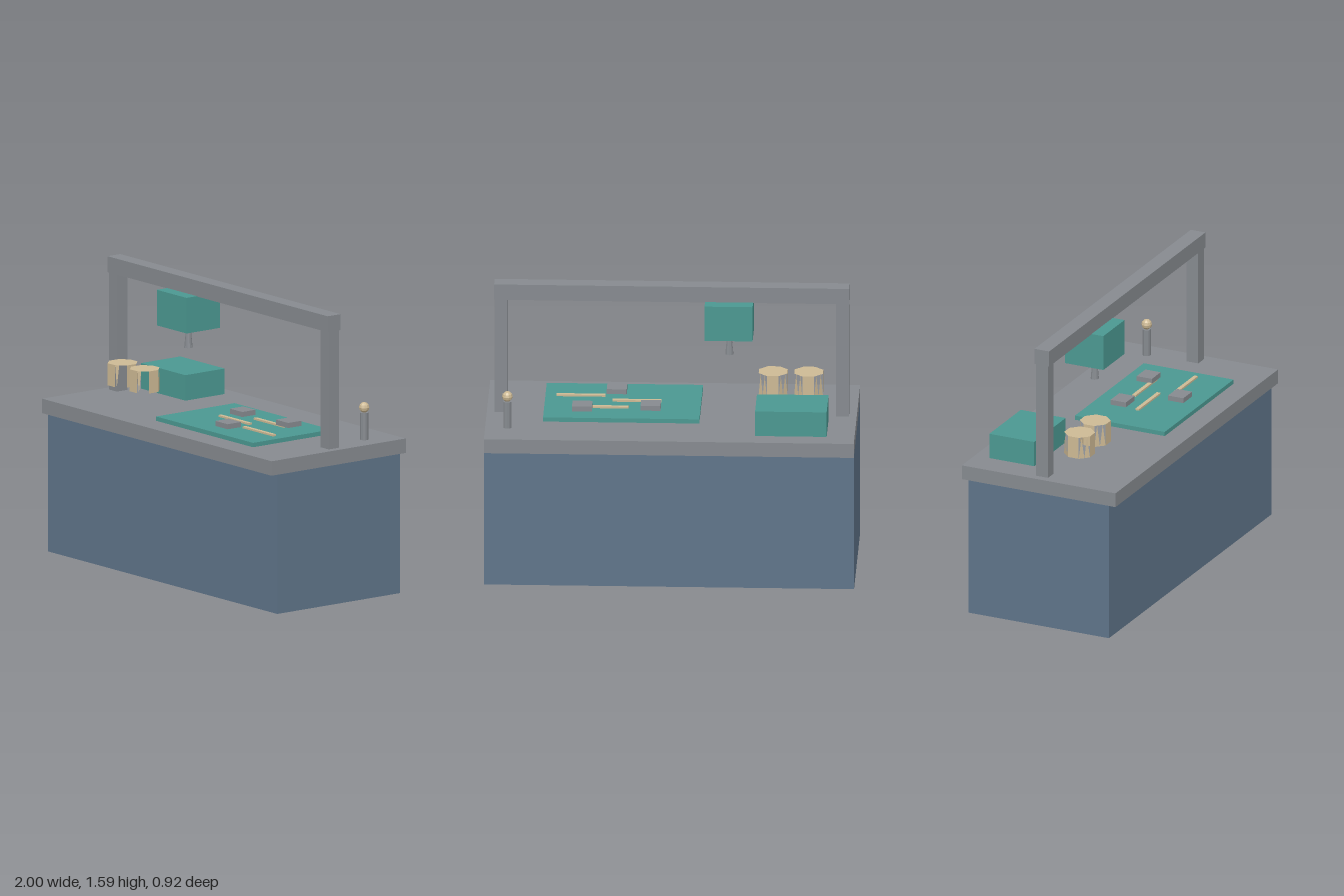
import * as THREE from 'three';

const mat = (name, color) => {
  const m = new THREE.MeshStandardMaterial({ color, flatShading: true });
  m.name = name;
  return m;
};

// Facets given as outward-facing polygons, fanned into triangles
function facets(polys) {
  const pos = [];
  for (const p of polys)
    for (let i = 1; i < p.length - 1; i++) pos.push(...p[0], ...p[i], ...p[i + 1]);
  const g = new THREE.BufferGeometry();
  g.setAttribute('position', new THREE.Float32BufferAttribute(pos, 3));
  g.computeVertexNormals();
  return g;
}

// Eight-sided holder: solid panels on the main sides, open corners with slim prongs
function holderGeometry(radius, height) {
  const h = height / 2;
  const point = (i, y) => {
    const a = (i - 0.5) * Math.PI / 4;
    return [Math.sin(a) * radius, y, Math.cos(a) * radius];
  };
  const along = (i, t, y) => {
    const a = point(i, y), b = point(i + 1, y);
    return a.map((v, k) => v + (b[k] - v) * t);
  };
  const polys = [], top = [], bottom = [];
  for (let i = 0; i < 8; i++) {
    top.push(point(i, h));
    bottom.unshift(point(i, -h));
    if (i % 2 === 0) {
      polys.push([along(i, 0, -h), along(i, 1, -h), along(i, 1, h), along(i, 0, h)]);
    } else if (i === 1) {
      polys.push([along(i, 0.15, -h), along(i, 0.35, h), along(i, 0, h)]);
    } else {
      for (const t of [0, 0.5])
        polys.push([along(i, t, -h), along(i, t + 0.5, -h), along(i, t + 0.25, h)]);
    }
  }
  return facets([...polys, top, bottom]);
}

export function createModel() {
  const group = new THREE.Group();
  const grey = mat('grey metal', 0x868a8f);
  const blue = mat('blue cabinet', 0x5f7489);
  const teal = mat('teal panel', 0x4b9891);
  const tan = mat('tan', 0xcdb994);

  const add = (name, geo, material, x, y, z) => {
    const m = new THREE.Mesh(geo, material);
    m.name = name;
    m.position.set(x, y, z);
    group.add(m);
    return m;
  };
  // Box from its minimum and maximum corners
  const box = (name, material, x0, x1, y0, y1, z0, z1) =>
    add(name, new THREE.BoxGeometry(x1 - x0, y1 - y0, z1 - z0), material,
      (x0 + x1) / 2, (y0 + y1) / 2, (z0 + z1) / 2);

  // Bench
  box('cabinet', blue, -1, 1, 0, 0.77, -0.423, 0.423);
  box('worktop', grey, -1, 1, 0.77, 0.85, -0.462, 0.462);

  // Gantry
  for (const s of [-1, 1])
    box(s > 0 ? 'leftPost' : 'rightPost', grey, s * 0.923 - 0.035, s * 0.923 + 0.035, 0.85, 1.5, -0.036, 0.036);
  box('crossBeam', grey, -0.96, 0.96, 1.5, 1.588, -0.044, 0.044);

  // Tool head with flared nozzle
  box('toolHead', teal, -0.44, -0.18, 1.305, 1.502, -0.115, 0.115);
  add('nozzle', new THREE.CylinderGeometry(0.012, 0.023, 0.115, 10), grey, -0.31, 1.2475, 0);

  // Storage box and work mat
  box('storageBox', teal, -0.85, -0.463, 0.855, 0.996, -0.37, -0.1);
  box('workMat', teal, -0.155, 0.69, 0.858, 0.882, -0.195, 0.345);

  // Blocks and strips laid out on the mat
  for (const [x, z] of [[0.113, -0.04], [0.305, 0.212], [0.483, -0.064]])
    box('block', grey, x - 0.054, x + 0.054, 0.888, 0.916, z - 0.046, z + 0.046);
  for (const [x, z] of [[0.192, 0.075], [0.498, 0.15], [0.365, -0.03]])
    box('strip', tan, x - 0.132, x + 0.132, 0.882, 0.892, z - 0.011, z + 0.011);

  // Holders
  for (const x of [-0.735, -0.543])
    add('holder', holderGeometry(0.084, 0.122), tan, x, 0.989, 0.117);

  // Lever with ball knob
  add('leverRod', new THREE.CylinderGeometry(0.023, 0.023, 0.15, 10), grey, 0.88, 0.925, -0.27);
  add('leverKnob', new THREE.SphereGeometry(0.029, 10, 6), tan, 0.88, 1.028, -0.27);

  return group;
}
